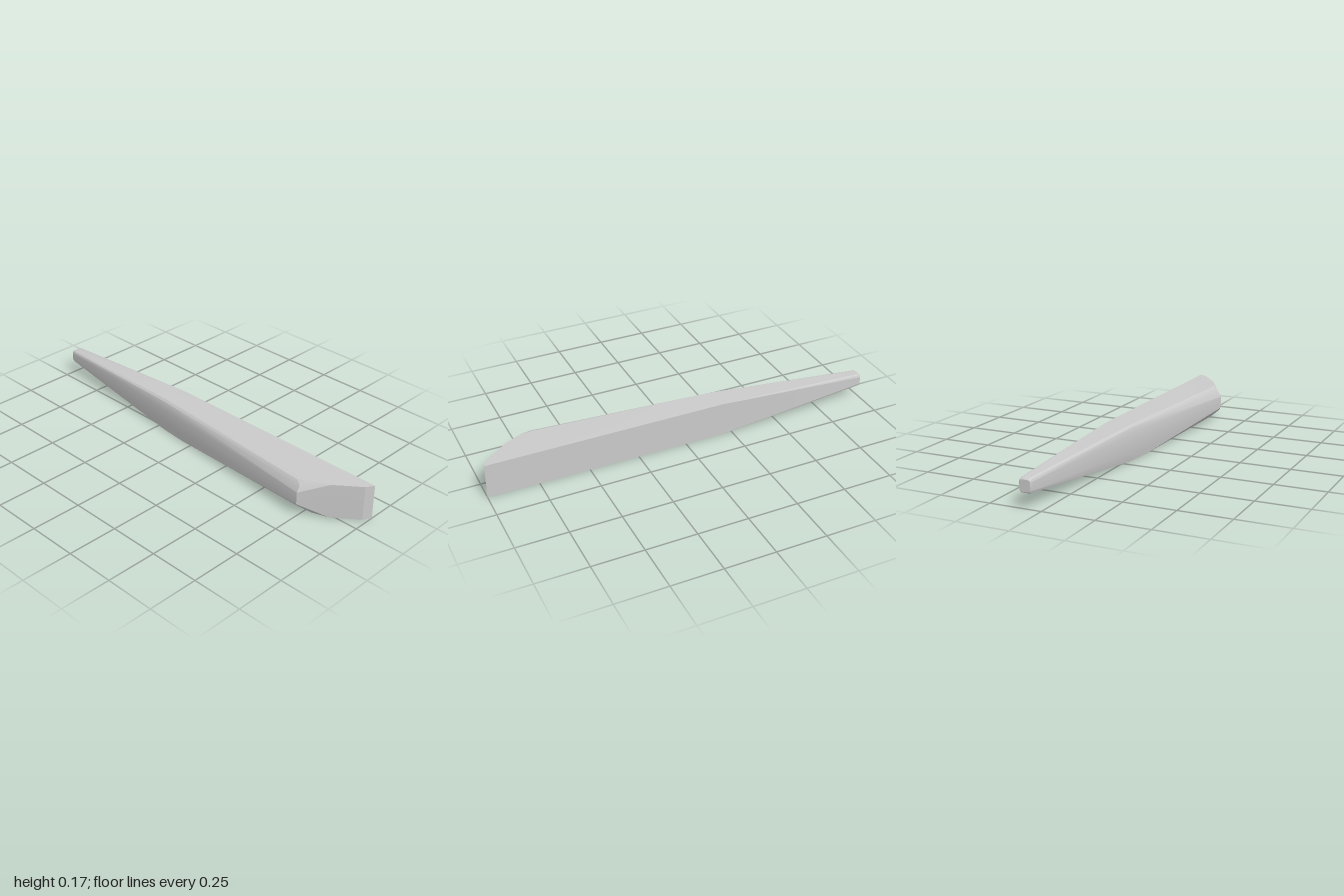
import * as THREE from 'three';
import { toCreasedNormals } from 'three/addons/utils/BufferGeometryUtils.js';
import { ConvexGeometry } from 'three/addons/geometries/ConvexGeometry.js';

// Cross-sections along x, each a list of [z, y] corners
const H = 0.175;

// Rectangle with rounded corners, used for the narrow tip
function roundedSection(z0, z1, y0, y1, r) {
  const corners = [[z1 - r, y1 - r, 0], [z0 + r, y1 - r, 1], [z0 + r, y0 + r, 2], [z1 - r, y0 + r, 3]];
  const out = [];
  for (const [z, y, q] of corners) {
    for (let i = 0; i <= 2; i++) {
      const a = (q + i / 2) * Math.PI / 2;
      out.push([z + r * Math.cos(a), y + r * Math.sin(a)]);
    }
  }
  return out;
}

const sections = [
  // blunt rounded tip
  [-1, roundedSection(-0.1, -0.05, 0.073, 0.127, 0.01)],
  [-0.996, roundedSection(-0.104, -0.046, 0.069, 0.131, 0.013)],
  [-0.985, roundedSection(-0.106, -0.043, 0.066, 0.134, 0.014)],
  // full height begins
  [-0.2, [[-0.111, 0], [-0.111, H], [0.01, H], [0.021, 0.165], [0.026, 0.145], [0.026, 0.04], [0.02, 0]]],
  [-0.06, [[0.037, 0.03], [0.033, 0]]],
  // widest point, with bevelled upper and lower edges
  [0.72, [[0.065, H], [0.082, 0.168], [0.045, 0]]],
  [0.745, [[0.111, 0.06], [0.111, 0.122], [0.1, 0.045], [0.094, 0.152]]],
  // slanted end
  [0.78, [[0.06, H], [0.045, 0]]],
  [0.86, [[0.019, H], [0.019, 0]]],
  [0.977, [[-0.073, 0], [-0.073, H]]],
  [1, [[-0.111, 0], [-0.111, H]]],
];

export function createModel() {
  const group = new THREE.Group();
  group.name = 'taperedBlade';

  const grey = new THREE.MeshStandardMaterial({ color: 0xcacaca });
  grey.name = 'lightGrey';

  // Tapered body as the skin around its cross-sections
  const points = sections.flatMap(([x, ring]) => ring.map(([z, y]) => new THREE.Vector3(x, y, z)));
  const body = new THREE.Mesh(toCreasedNormals(new ConvexGeometry(points), 0.3), grey);
  body.name = 'body';
  group.add(body);
  return group;
}
